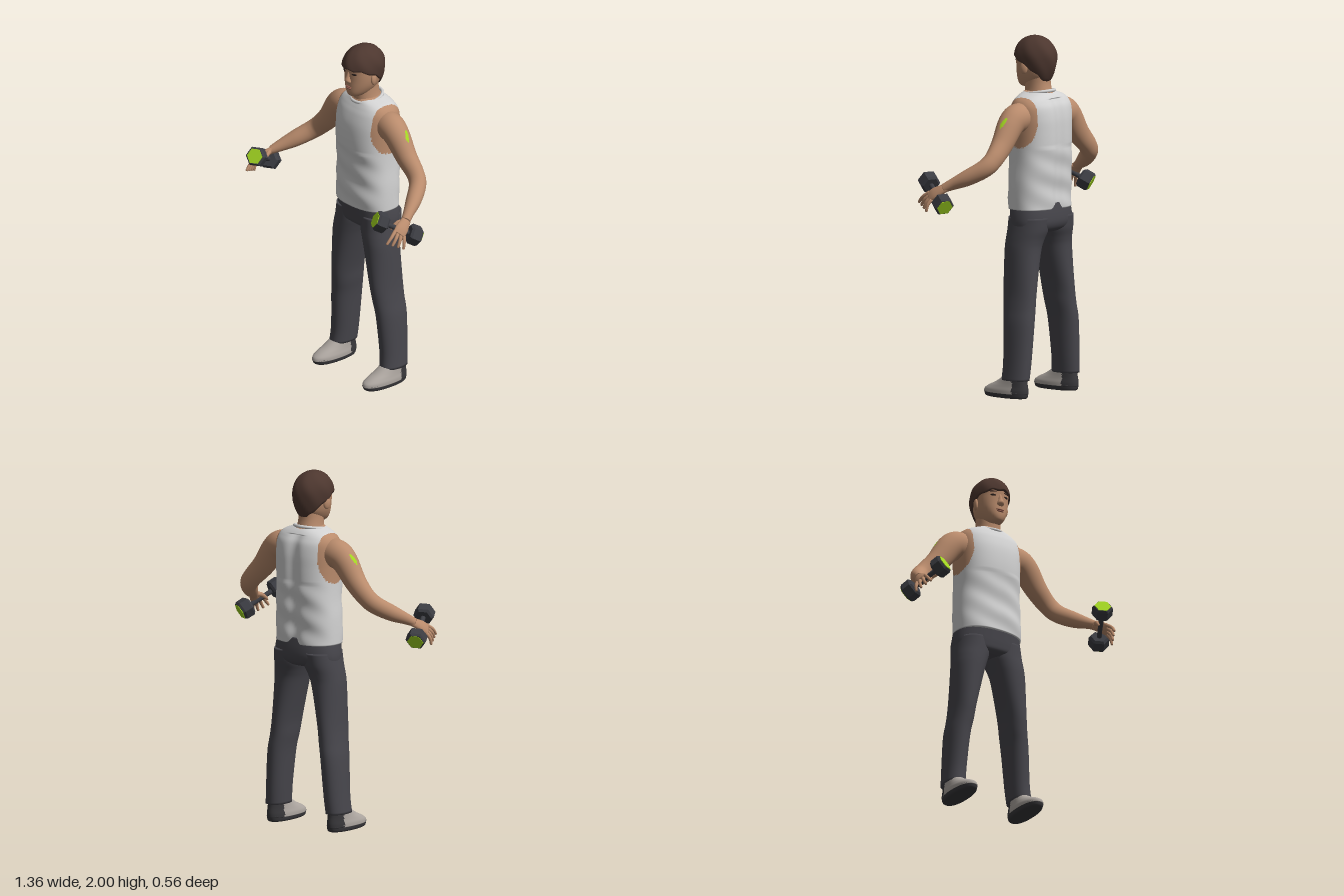
import * as THREE from 'three';

const mat = (name, color, side = THREE.FrontSide) => {
  const m = new THREE.MeshStandardMaterial({ color, side });
  m.name = name;
  return m;
};
const skin = mat('skin', 0xb98b6c), hair = mat('hair', 0x4d372f), shirt = mat('shirt', 0xd2d2d2),
  cloth = mat('trousers', 0x47464c), shoe = mat('shoe', 0xaba49e), sole = mat('sole', 0x38373a),
  iron = mat('iron', 0x3c3d43), lime = mat('lime', 0xa4d822), lip = mat('lip', 0x955f50), dark = mat('eye', 0x2a201d);

const V = (x, y, z) => new THREE.Vector3(x, y, z);

function add(parent, name, geometry, material, pos = [0, 0, 0], scale = [1, 1, 1], rotY = 0) {
  const m = new THREE.Mesh(geometry, material);
  m.name = name;
  m.position.set(...pos);
  m.scale.set(...scale);
  m.rotation.y = rotY;
  parent.add(m);
  return m;
}

// Catmull-Rom interpolation of rows of numbers
function smooth(rows, sub) {
  const out = [], n = rows.length, at = i => rows[Math.min(n - 1, Math.max(0, i))];
  for (let i = 0; i < n - 1; i++) {
    for (let k = 0; k < sub; k++) {
      const t = k / sub;
      out.push(rows[i].map((b, c) => {
        const a = at(i - 1)[c], d = at(i + 1)[c], e = at(i + 2)[c];
        return b + 0.5 * t * (d - a + t * (2 * a - 5 * b + 4 * d - e + t * (3 * (b - d) + e - a)));
      }));
    }
  }
  out.push(rows[n - 1]);
  return out;
}

// Closed skin over rings of points; pick(centre) chooses a material group
function surface(rings, pick = () => 0) {
  const seg = rings[0].length, pts = rings.flat(), groups = [[], []];
  const ends = [rings[0], rings[rings.length - 1]].map(r => {
    pts.push(r.reduce((s, p) => s.add(p), V(0, 0, 0)).divideScalar(seg));
    return pts.length - 1;
  });
  const face = (a, b, c) => {
    const mid = pts[a].clone().add(pts[b]).add(pts[c]).divideScalar(3);
    groups[pick(mid)].push(a, b, c);
  };
  for (let j = 0; j < seg; j++) {
    const k = (j + 1) % seg, last = (rings.length - 1) * seg;
    for (let r = 0; r < rings.length - 1; r++) {
      const o = r * seg, u = o + seg;
      face(o + j, o + k, u + k);
      face(o + j, u + k, u + j);
    }
    face(ends[0], k, j);
    face(ends[1], last + j, last + k);
  }
  const g = new THREE.BufferGeometry().setFromPoints(pts);
  g.setIndex([...groups[0], ...groups[1]]);
  g.addGroup(0, groups[0].length, 0);
  g.addGroup(groups[0].length, groups[1].length, 1);
  g.computeVertexNormals();
  return g;
}

// Upright loft, rows are [y, centre x, half width, front z, back z], lowest first
function upright(rows, { sub = 5, seg = 40, pow = 2.2, pick, warp } = {}) {
  const bend = v => Math.sign(v) * Math.abs(v) ** (2 / pow);
  return surface(smooth(rows, sub).map(([y, cx, rx, zf, zb]) => Array.from({ length: seg }, (_, j) => {
    const a = j / seg * Math.PI * 2;
    const p = V(cx + rx * bend(Math.sin(a)), y, (zf + zb) / 2 + (zf - zb) / 2 * bend(Math.cos(a)));
    if (warp) warp(p, a);
    return p;
  })), pick);
}

// Limb along a path, rows are [x, y, z, radius along ref, other radius]
function limb(rows, ref, { sub = 5, seg = 16, pick } = {}) {
  const path = smooth(rows, sub), pos = path.map(p => V(p[0], p[1], p[2]));
  return surface(path.map((p, i) => {
    const t = pos[Math.min(i + 1, pos.length - 1)].clone().sub(pos[Math.max(i - 1, 0)]).normalize();
    const u = ref.clone().addScaledVector(t, -ref.dot(t)).normalize(), v = t.clone().cross(u);
    return Array.from({ length: seg }, (_, j) => {
      const a = j / seg * Math.PI * 2;
      return pos[i].clone().addScaledVector(u, p[3] * Math.cos(a)).addScaledVector(v, p[4] * Math.sin(a));
    });
  }), pick);
}

const ball = new THREE.SphereGeometry(1, 20, 14);

function makeHead() {
  const g = new THREE.Group();
  g.name = 'head';
  add(g, 'face', upright([
    [1.712, 0, 0.025, -0.015, -0.09], [1.722, 0, 0.042, 0.001, -0.12], [1.745, 0, 0.062, 0.009, -0.16],
    [1.78, 0, 0.08, 0.01, -0.19], [1.82, 0, 0.09, 0.009, -0.2], [1.865, 0, 0.094, 0.01, -0.205],
    [1.92, 0, 0.092, 0.012, -0.2], [1.96, 0, 0.065, -0.02, -0.18]]), skin);
  add(g, 'neck', upright([[1.64, 0, 0.085, -0.045, -0.21], [1.69, 0, 0.069, -0.045, -0.2],
    [1.74, 0, 0.064, -0.045, -0.19], [1.8, 0, 0.064, -0.05, -0.19]]), skin);
  add(g, 'nose', upright([[1.799, 0, 0.012, 0.012, -0.01], [1.808, 0, 0.021, 0.024, -0.01],
    [1.82, 0, 0.019, 0.03, -0.01], [1.84, 0, 0.012, 0.022, -0.01], [1.875, 0, 0.009, 0.009, -0.01]], { seg: 20 }), skin);
  add(g, 'upperLip', ball, lip, [0, 1.777, 0.007], [0.026, 0.005, 0.009]);
  add(g, 'lowerLip', ball, lip, [0, 1.768, 0.007], [0.021, 0.006, 0.009]);
  for (const s of [1, -1]) {
    add(g, 'ear', ball, skin, [s * 0.095, 1.825, -0.095], [0.012, 0.034, 0.022], s * 0.3);
    add(g, 'eye', ball, dark, [s * 0.041, 1.861, 0.001], [0.016, 0.006, 0.005], s * 0.35);
    add(g, 'eyebrow', ball, hair, [s * 0.043, 1.883, 0.001], [0.023, 0.004, 0.006], s * 0.35);
  }
  // Hair cap whose hem drops from the brow to the nape
  const rings = [];
  for (let r = -1; r <= 24; r++) {
    rings.push(Array.from({ length: 56 }, (_, j) => {
      const a = j / 56 * Math.PI * 2, c = Math.cos(a);
      const hem = 1.845 + 0.0725 * c - 0.0275 * c * c + 0.004 * Math.sin(9 * a);
      const t = 1 - Math.max(r, 0) / 24.5, y = 2 - (2 - hem) * t ** 1.8;
      const d = y - 1.88;
      let k = d > 0 ? Math.sqrt(1 - (d / 0.1201) ** 2) : 1 - 0.33 * (d / 0.135) ** 2;
      k *= 1 + 0.015 * Math.sin(7 * a + 40 * y);
      if (r < 0) k *= 0.82;
      return V(0.105 * k * Math.sin(a), y, -0.1 + 0.13 * k * c);
    }));
  }
  add(g, 'hair', surface(rings), hair);
  return g;
}

function makeTorso() {
  const g = new THREE.Group();
  g.name = 'torso';
  // Bare skin inside the collar and in the armholes
  const bare = p => {
    const edge = p.y > 1.55 ? 0.148 : 0.148 + 0.045 * ((1.55 - p.y) / 0.17) ** 2;
    const armhole = p.y > 1.38 && Math.abs(p.x) > edge;
    const collar = p.y > 1.6 && (p.x / 0.084) ** 2 + ((p.z + 0.125) / 0.09) ** 2 < 1;
    return armhole || collar ? 1 : 0;
  };
  const warp = (p, a) => {
    if (p.z < -0.18 && p.y < 1.66) p.z += 0.016 * Math.exp(-((p.x / 0.04) ** 2));
    if (p.y < 1.4) p.z += 0.004 * Math.sin(p.y * 45 + 3 * a) * Math.cos(a);
  };
  add(g, 'tankTop', upright([
    [1.045, 0, 0.198, 0.004, -0.268], [1.12, 0, 0.198, 0.008, -0.268], [1.2, 0, 0.196, 0.006, -0.272],
    [1.3, 0, 0.189, 0.01, -0.28], [1.4, 0, 0.187, 0.02, -0.284], [1.48, 0, 0.189, 0.02, -0.284],
    [1.55, 0, 0.192, 0.012, -0.281], [1.61, 0, 0.19, -0.006, -0.27], [1.645, 0, 0.176, -0.023, -0.252],
    [1.668, 0, 0.148, -0.036, -0.235], [1.685, 0, 0.105, -0.045, -0.218], [1.697, 0, 0.07, -0.055, -0.2]],
  { sub: 8, seg: 128, pow: 2.4, pick: bare, warp }), [shirt, skin]);
  const rim = Array.from({ length: 24 }, (_, i) => {
    const a = i / 24 * Math.PI * 2, c = Math.cos(a);
    return V(0.084 * Math.sin(a), 1.686 - 0.014 * c, -0.125 + 0.088 * c);
  });
  add(g, 'collar', new THREE.TubeGeometry(new THREE.CatmullRomCurve3(rim, true), 64, 0.009, 8, true), shirt);
  add(g, 'hips', upright([[0.915, 0, 0.15, -0.05, -0.22], [0.935, 0, 0.195, -0.022, -0.25],
    [0.97, 0, 0.204, -0.014, -0.266], [1.02, 0, 0.2, -0.01, -0.266], [1.08, 0, 0.188, -0.006, -0.258]],
  { pow: 2.4, seg: 56 }), cloth);
  return g;
}

function makeLeg() {
  const g = new THREE.Group();
  g.name = 'leg';
  add(g, 'trouserLeg', upright([
    [0.1, 0.217, 0.058, -0.05, -0.222], [0.2, 0.208, 0.059, -0.056, -0.229], [0.4, 0.192, 0.062, -0.044, -0.236],
    [0.5, 0.176, 0.063, -0.032, -0.232], [0.6, 0.163, 0.065, -0.021, -0.23], [0.8, 0.135, 0.086, -0.015, -0.226],
    [0.87, 0.121, 0.094, -0.015, -0.234], [0.93, 0.107, 0.1, -0.018, -0.252], [1, 0.104, 0.093, -0.02, -0.262]]), cloth);
  add(g, 'shoeSole', upright([[0, 0.217, 0.05, 0.055, -0.205], [0.008, 0.217, 0.058, 0.07, -0.213],
    [0.032, 0.217, 0.061, 0.077, -0.218]], { pow: 2.3 }), sole);
  add(g, 'shoeUpper', upright([[0.025, 0.217, 0.062, 0.079, -0.219], [0.045, 0.217, 0.061, 0.072, -0.219],
    [0.065, 0.217, 0.056, 0.04, -0.216], [0.085, 0.217, 0.052, -0.005, -0.212], [0.115, 0.217, 0.048, -0.055, -0.208]],
  { seg: 64, pick: p => (p.z < -0.15 ? 1 : 0) }), [shoe, sole]);
  return g;
}

function makeDumbbell() {
  const g = new THREE.Group();
  g.name = 'dumbbell';
  const hex = (r1, r2, h) => {
    const c = new THREE.CylinderGeometry(r1, r2, h, 6).toNonIndexed();
    c.computeVertexNormals();
    return c;
  };
  add(g, 'handle', new THREE.CylinderGeometry(0.014, 0.014, 0.17, 16), iron);
  for (const s of [1, -1]) {
    const head = new THREE.Group();
    head.name = 'weight';
    add(head, 'block', hex(0.058, 0.058, 0.046), iron, [0, 0.106, 0]);
    add(head, 'outerBevel', hex(0.05, 0.058, 0.012), iron, [0, 0.135, 0]);
    add(head, 'innerBevel', hex(0.058, 0.046, 0.012), iron, [0, 0.077, 0]);
    add(head, 'endPlate', hex(0.046, 0.046, 0.004), lime, [0, 0.142, 0]);
    if (s < 0) head.rotation.x = Math.PI;
    g.add(head);
  }
  return g;
}

function makeArm() {
  const g = new THREE.Group();
  g.name = 'arm';
  // Small lime mark on the outer upper arm
  const mark = p => (p.x > 0.27 && ((p.y - 1.545) / 0.026) ** 2 + ((p.z + 0.14 + (p.y - 1.545) * 0.25) / 0.012) ** 2 < 1 ? 1 : 0);
  add(g, 'bareArm', limb([
    [0.13, 1.56, -0.135, 0.075, 0.075], [0.2, 1.558, -0.132, 0.077, 0.082], [0.255, 1.523, -0.13, 0.071, 0.075],
    [0.33, 1.425, -0.133, 0.058, 0.064], [0.405, 1.35, -0.134, 0.048, 0.056], [0.455, 1.303, -0.11, 0.047, 0.052],
    [0.51, 1.252, -0.035, 0.043, 0.046], [0.555, 1.212, 0.04, 0.03, 0.032], [0.58, 1.19, 0.08, 0.026, 0.023]],
  V(0, 0, 1), { sub: 10, seg: 72, pick: mark }), [skin, lime]);

  // Hand spread over the grip
  const axis = V(-0.4, 0.47, 0.79).normalize();
  const across = V(-0.49, 0.63, 0.61);
  const hand = new THREE.Group();
  hand.name = 'hand';
  g.add(hand);
  add(hand, 'palm', limb([[0.565, 1.2, 0.055, 0.024, 0.02], [0.585, 1.182, 0.09, 0.031, 0.019],
    [0.602, 1.16, 0.128, 0.038, 0.017], [0.612, 1.14, 0.155, 0.036, 0.012]], across, { seg: 24 }), skin);
  for (let i = 0; i < 4; i++) {
    const f = i / 3, k = V(0.61, 1.145, 0.148).addScaledVector(across, 0.029 - 0.058 * f);
    const tip = V(0.605, 1.1, 0.238).lerp(V(0.645, 1.06, 0.15), f);
    const mid = k.clone().lerp(tip, 0.5).add(V(0.007, 0.005, 0.002));
    add(hand, 'finger', limb([[...k, 0.011, 0.011], [...mid, 0.0095, 0.0095],
      [...tip.clone().lerp(mid, 0.15), 0.0075, 0.0075], [...tip, 0.003, 0.003]], across, { seg: 12 }), skin);
  }
  add(hand, 'thumb', limb([[0.58, 1.19, 0.085, 0.014, 0.014], [0.562, 1.185, 0.12, 0.013, 0.012],
    [0.552, 1.162, 0.152, 0.009, 0.009], [0.55, 1.15, 0.162, 0.004, 0.004]], across, { seg: 12 }), skin);

  const bell = makeDumbbell();
  bell.position.set(0.577, 1.16, 0.137);
  bell.quaternion.setFromUnitVectors(V(0, 1, 0), axis);
  g.add(bell);
  return g;
}

export function createModel() {
  const model = new THREE.Group();
  model.name = 'athlete';
  model.add(makeHead(), makeTorso());
  for (const s of [1, -1]) {
    const half = new THREE.Group();
    half.name = s > 0 ? 'leftLimbs' : 'rightLimbs';
    half.add(makeArm(), makeLeg());
    half.scale.x = s;
    model.add(half);
  }
  return model;
}
